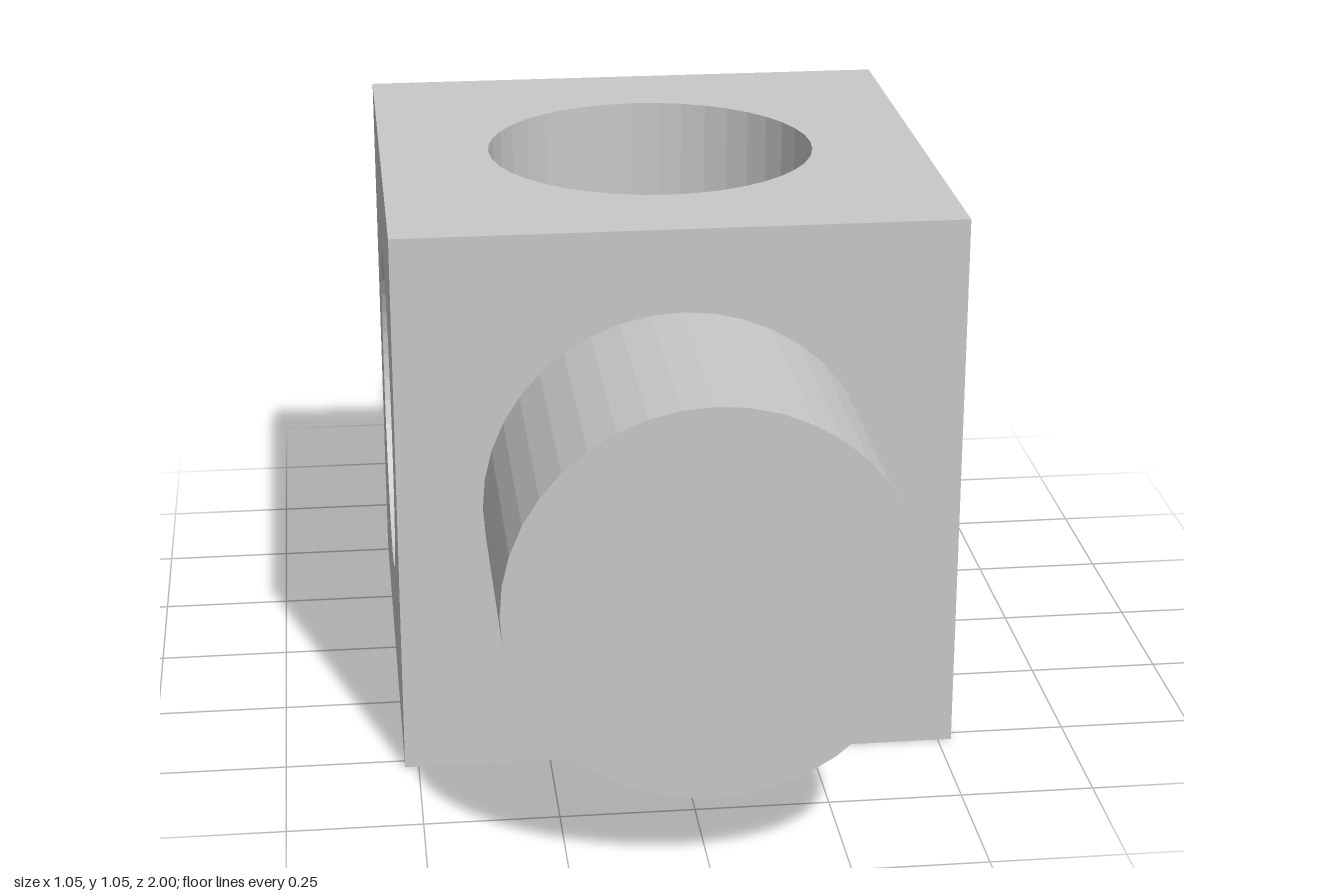
import * as THREE from 'three';

const HALF = 0.526;   // half side of the block
const BORE = 0.316;   // radius of the through holes
const PEG = 0.368;    // radius of the round pegs
const SEG = 40;

// Square plate facing +z with a round opening
function facePlate(radius) {
  const shape = new THREE.Shape();
  shape.moveTo(-HALF, -HALF).lineTo(HALF, -HALF).lineTo(HALF, HALF).lineTo(-HALF, HALF).closePath();
  const hole = new THREE.Path();
  for (let i = 0; i <= SEG; i++) {
    const a = -(i / SEG) * Math.PI * 2;
    const x = radius * Math.cos(a), y = radius * Math.sin(a);
    if (i === 0) hole.moveTo(x, y); else hole.lineTo(x, y);
  }
  shape.holes.push(hole);
  return new THREE.ShapeGeometry(shape);
}

// Inner wall of a hole along +x, ending on the seam with the crossing hole
function boreWall() {
  const pos = [], index = [];
  for (let i = 0; i <= SEG; i++) {
    const a = (i / SEG) * Math.PI * 2;
    const y = BORE * Math.cos(a), z = BORE * Math.sin(a);
    pos.push(Math.abs(y), y, z, HALF, y, z);
    if (i < SEG) {
      const k = i * 2;
      index.push(k, k + 1, k + 2, k + 1, k + 3, k + 2);
    }
  }
  const geo = new THREE.BufferGeometry();
  geo.setAttribute('position', new THREE.Float32BufferAttribute(pos, 3));
  geo.setIndex(index);
  const flat = geo.toNonIndexed();
  flat.computeVertexNormals();
  return flat;
}

export function createModel() {
  const model = new THREE.Group();
  model.name = 'crossBoredBlock';
  const grey = new THREE.MeshStandardMaterial({ color: 0xc8c8c8, flatShading: true });
  grey.name = 'plainGrey';

  const add = (parent, geo, name) => {
    const mesh = new THREE.Mesh(geo, grey);
    mesh.name = name;
    parent.add(mesh);
    return mesh;
  };

  // Four bored sides: left, top, right, bottom
  const sidePlate = facePlate(BORE).rotateY(Math.PI / 2).translate(HALF, 0, 0);
  const wall = boreWall();
  ['left', 'top', 'right', 'bottom'].forEach((name, i) => {
    const side = new THREE.Group();
    side.name = name + 'Side';
    add(side, sidePlate, name + 'Face');
    add(side, wall, name + 'Bore');
    side.rotation.z = i * Math.PI / 2;
    side.position.y = HALF;
    model.add(side);
  });

  // Front and back faces, each with a solid round peg
  const endPlate = facePlate(PEG).translate(0, 0, HALF);
  const pegWall = new THREE.CylinderGeometry(PEG, PEG, 1 - HALF, SEG, 1, true)
    .rotateY(Math.PI / 2).rotateX(Math.PI / 2).translate(0, 0, (1 + HALF) / 2);
  const pegCap = new THREE.CircleGeometry(PEG, SEG).translate(0, 0, 1);
  ['front', 'back'].forEach((name, i) => {
    const end = new THREE.Group();
    end.name = name + 'End';
    add(end, endPlate, name + 'Face');
    add(end, pegWall, name + 'Peg');
    add(end, pegCap, name + 'PegCap');
    end.rotation.y = i * Math.PI;
    end.position.y = HALF;
    model.add(end);
  });

  return model;
}
